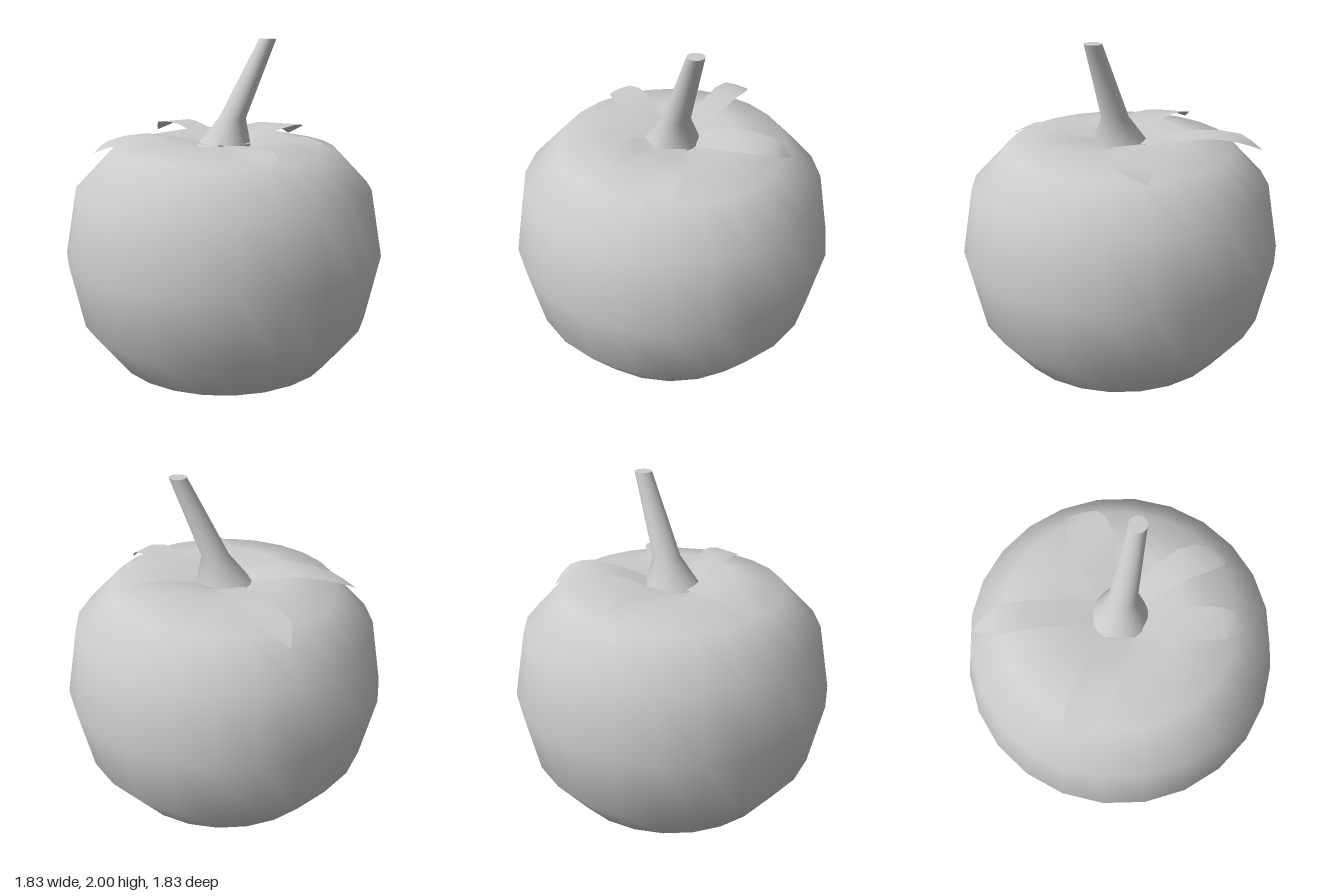
import * as THREE from 'three';
import { mergeVertices } from 'three/addons/utils/BufferGeometryUtils.js';

const material = new THREE.MeshStandardMaterial({ color: 0xcccccc });
const leafMaterial = new THREE.MeshStandardMaterial({ color: 0xcccccc, side: THREE.DoubleSide });
const points2 = (list) => list.map(([x, y]) => new THREE.Vector2(x, y));

function add(parent, name, geometry, mat = material) {
  const mesh = new THREE.Mesh(geometry, mat);
  mesh.name = name;
  parent.add(mesh);
  return mesh;
}

// Flared, leaning tube: each ring is [radius, x, y, z]
function stemGeometry(rings, segments) {
  const geometry = new THREE.LatheGeometry(points2(rings.map(([r, , y]) => [r, y])), segments);
  const pos = geometry.attributes.position;
  for (let i = 0; i < pos.count; i++) {
    const [, x, , z] = rings[i % rings.length];
    pos.setXYZ(i, pos.getX(i) + x, pos.getY(i), pos.getZ(i) + z);
  }
  geometry.deleteAttribute('uv');
  geometry.deleteAttribute('normal');
  const merged = mergeVertices(geometry);
  merged.computeVertexNormals();
  return merged;
}

// Leaf strip between two edge curves that run from the base and meet at the tip.
// outline: [x, z] around the leaf, base - tip - base; heights: y from base to tip
function leafGeometry(outline, heights, rows = 6) {
  const edge = (list) => new THREE.CatmullRomCurve3(
    list.map(([x, z], i) => new THREE.Vector3(x, heights[i], z)));
  const left = edge(outline.slice(0, 4));
  const right = edge(outline.slice(3).reverse());
  const vertices = [], index = [];
  for (let i = 0; i <= rows; i++) {
    const a = left.getPoint(i / rows), b = right.getPoint(i / rows);
    vertices.push(...a, ...b);
    const k = i * 2;
    if (i < rows) index.push(k, k + 2, k + 1);
    if (i < rows - 1) index.push(k + 1, k + 2, k + 3);
  }
  const geometry = new THREE.BufferGeometry();
  geometry.setAttribute('position', new THREE.Float32BufferAttribute(vertices, 3));
  geometry.setIndex(index);
  geometry.computeVertexNormals();
  return geometry;
}

export function createModel() {
  const model = new THREE.Group();
  model.name = 'tomato';

  // Fruit with a shallow dimple on top
  const profile = points2([
    [0, 0], [0.35, 0.035], [0.64, 0.16], [0.835, 0.41], [0.915, 0.79],
    [0.845, 1.175], [0.635, 1.395], [0.35, 1.457], [0, 1.37],
  ]);
  add(model, 'fruit', new THREE.LatheGeometry(profile, 24));

  // Leaning stem and its flat cut end
  const rings = [[0.155, 0, 1.405, 0], [0.077, 0.043, 1.56, -0.024], [0.048, 0.213, 2, -0.123]];
  add(model, 'stem', stemGeometry(rings, 24));
  const cut = add(model, 'stemCut', new THREE.CircleGeometry(0.048, 24));
  cut.rotation.x = -Math.PI / 2;
  cut.position.set(0.213, 2, -0.123);

  // Five irregular sepals lying over the rim
  const sepals = [
    { y: [1.425, 1.475, 1.43, 1.36],
      outline: [[0.13, 0.05], [0.4, 0.09], [0.62, 0.14], [0.71, 0.07], [0.63, -0.01], [0.47, -0.08], [0.14, -0.08]] },
    { y: [1.425, 1.46, 1.43, 1.385],
      outline: [[0.03, 0.15], [0.13, 0.29], [0.34, 0.47], [0.47, 0.47], [0.475, 0.37], [0.38, 0.27], [0.13, 0.1]] },
    { y: [1.425, 1.47, 1.43, 1.375],
      outline: [[-0.15, 0.05], [-0.41, 0.16], [-0.6, 0.28], [-0.63, 0.38], [-0.47, 0.39], [-0.22, 0.29], [-0.03, 0.15]] },
    { y: [1.425, 1.475, 1.46, 1.39],
      outline: [[-0.15, -0.04], [-0.39, -0.19], [-0.6, -0.31], [-0.67, -0.43], [-0.5, -0.44], [-0.36, -0.36], [-0.05, -0.15]] },
    { y: [1.425, 1.48, 1.46, 1.39],
      outline: [[-0.05, -0.15], [0, -0.32], [0.07, -0.56], [0.15, -0.65], [0.28, -0.55], [0.27, -0.4], [0.11, -0.13]] },
  ];
  const calyx = new THREE.Group();
  calyx.name = 'calyx';
  sepals.forEach(({ outline, y }, i) => add(calyx, `sepal${i + 1}`, leafGeometry(outline, y), leafMaterial));
  model.add(calyx);

  return model;
}
